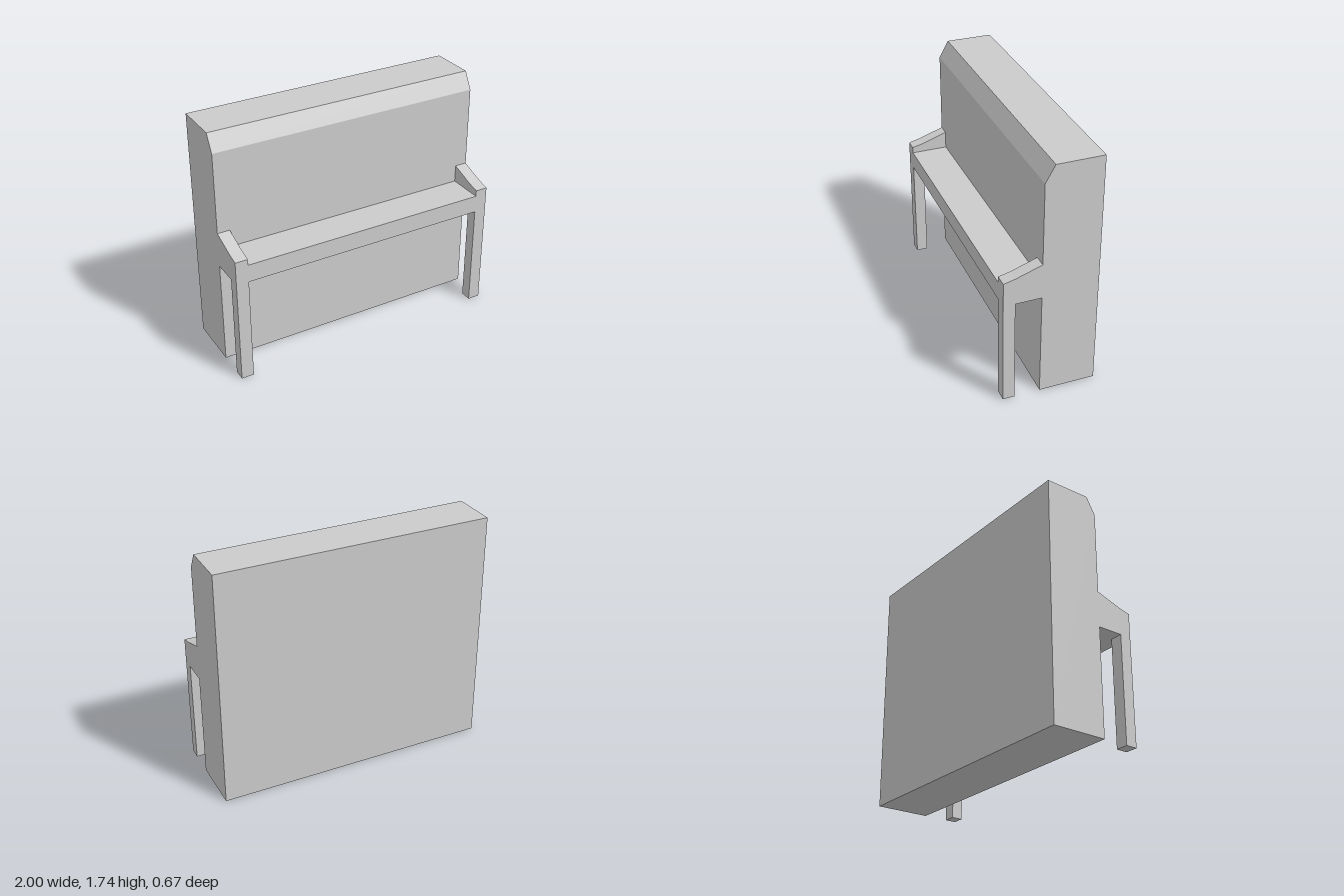
import * as THREE from 'three';

const material = new THREE.MeshStandardMaterial({ color: 0xcccccc, flatShading: true });

// Extrudes a side profile of [z, y] points along x, centred on the given x.
function sidePanel(name, points, width, x = 0) {
  const shape = new THREE.Shape(points.map(([z, y]) => new THREE.Vector2(z, y)));
  const geometry = new THREE.ExtrudeGeometry(shape, { depth: width, bevelEnabled: false });
  geometry.translate(0, 0, -width / 2);
  geometry.rotateY(-Math.PI / 2);
  const mesh = new THREE.Mesh(geometry, material);
  mesh.name = name;
  mesh.position.x = x;
  return mesh;
}

export function createModel() {
  const model = new THREE.Group();
  model.name = 'uprightPiano';

  const back = -0.333, face = 0.067, front = 0.333;
  const shelfBottom = 0.77, shelfTop = 0.9;
  const armWidth = 0.09;

  // Tall cabinet with a chamfered top front edge
  model.add(sidePanel('cabinet', [
    [back, 0], [face, 0], [face, 1.615], [0, 1.735], [back, 1.735],
  ], 2));

  // Flat shelf between the arms
  model.add(sidePanel('keyShelf', [
    [face, shelfBottom], [front, shelfBottom], [front, shelfTop], [face, shelfTop],
  ], 2 - 2 * armWidth));

  // Sloping arm and front leg in one piece, on each side
  for (const [side, sign] of [['left', 1], ['right', -1]]) {
    model.add(sidePanel(side + 'ArmAndLeg', [
      [face, shelfBottom], [0.25, shelfBottom], [0.25, 0], [front, 0],
      [front, 0.945], [0.25, 0.965], [face, 1.027],
    ], armWidth, sign * (1 - armWidth / 2)));
  }

  return model;
}
